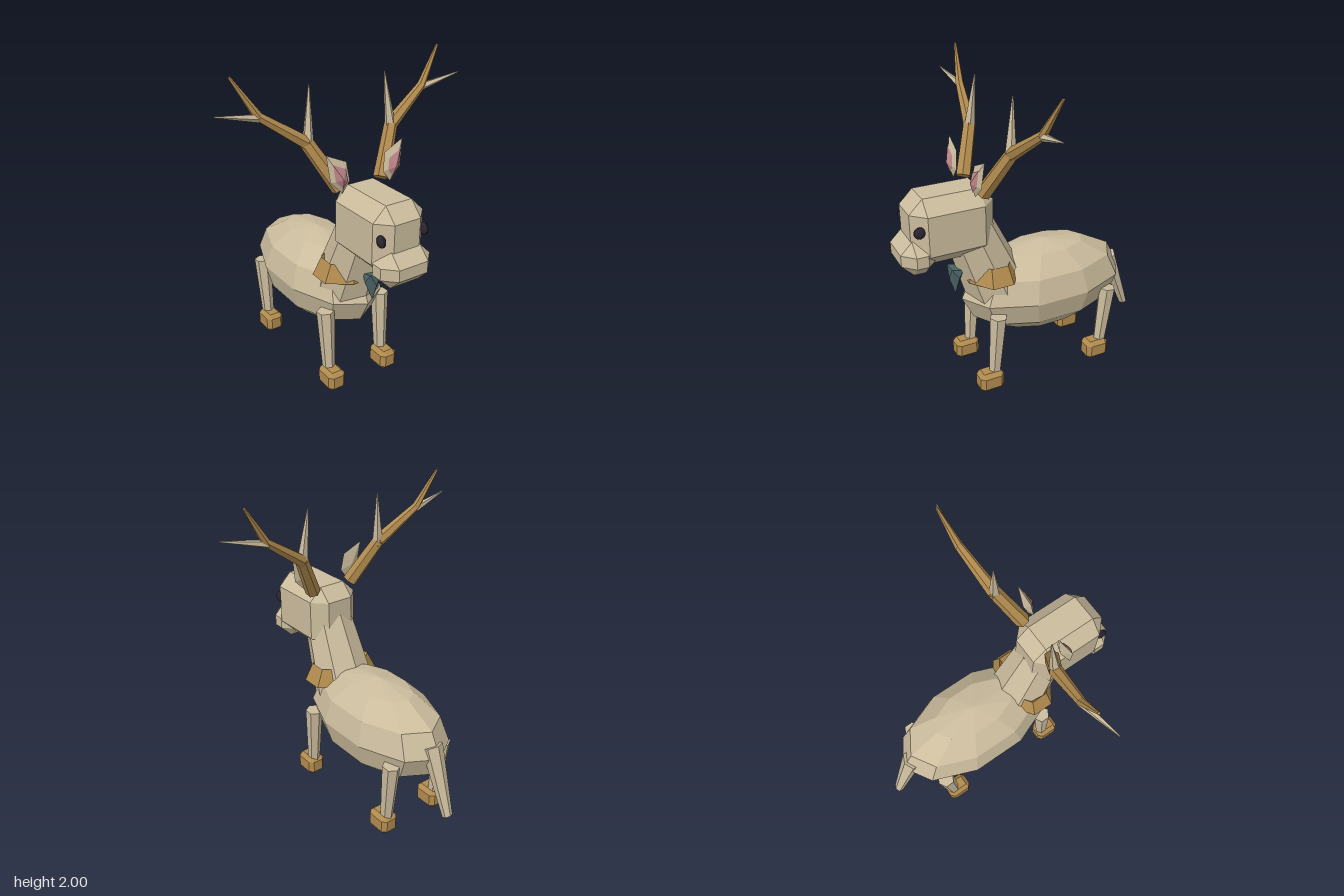
import * as THREE from 'three';
import { ConvexGeometry } from 'three/addons/geometries/ConvexGeometry.js';

const material = (name, color) => {
  const m = new THREE.MeshStandardMaterial({ color, flatShading: true });
  m.name = name;
  return m;
};
const V = (x, y, z) => new THREE.Vector3(x, y, z);

export function createModel() {
  const fur = material('tan fur', 0xcbbc9d);
  const gold = material('golden brown', 0xb18b4e);
  const teal = material('dark teal', 0x4f686b);
  const pink = material('inner ear pink', 0xbd8488);
  const dark = material('eye black', 0x2b2631);

  const model = new THREE.Group();
  model.name = 'deer';

  const add = (name, geometry, mat) => {
    const mesh = new THREE.Mesh(geometry, mat);
    mesh.name = name;
    model.add(mesh);
    return mesh;
  };
  const hull = (name, points, mat) => add(name, new ConvexGeometry(points), mat);

  // Box with one flat bevel of width c on every edge, between two corners
  const bevelBox = (name, lo, hi, c, mat) => {
    const mid = lo.clone().add(hi).multiplyScalar(0.5);
    const h = hi.clone().sub(lo).multiplyScalar(0.5);
    const points = [];
    for (const x of [-1, 1]) for (const y of [-1, 1]) for (const z of [-1, 1]) {
      points.push(V(x * h.x, y * (h.y - c), z * (h.z - c)).add(mid));
      points.push(V(x * (h.x - c), y * h.y, z * (h.z - c)).add(mid));
      points.push(V(x * (h.x - c), y * (h.y - c), z * h.z).add(mid));
    }
    return hull(name, points, mat);
  };

  // Tapered prism running from a to b
  const limb = (name, a, b, ra, rb, sides, mat, flat = 1) => {
    const geometry = new THREE.CylinderGeometry(rb, ra, a.distanceTo(b), sides);
    geometry.scale(1, 1, flat);
    const mesh = add(name, geometry, mat);
    mesh.position.copy(a).add(b).multiplyScalar(0.5);
    mesh.quaternion.setFromUnitVectors(V(0, 1, 0), b.clone().sub(a).normalize());
    return mesh;
  };

  // Body
  const bodyGeo = new THREE.SphereGeometry(1, 10, 6).rotateY(Math.PI / 2);
  const body = add('body', bodyGeo, fur);
  body.scale.set(0.305, 0.303, 0.567);
  body.position.set(0, 0.574, -0.136);

  // Neck, head and muzzle
  limb('neck', V(0, 0.6, 0.19), V(0, 1.1, 0.385), 0.205, 0.155, 8, fur);
  bevelBox('head', V(-0.17, 0.925, 0.245), V(0.17, 1.34, 0.757), 0.083, fur);
  bevelBox('muzzle', V(-0.17, 0.88, 0.61), V(0.17, 1.095, 0.825), 0.072, fur);

  // Collar with a triangular section, and its pendant
  const section = [[0.14, 0.735], [0.255, 0.735], [0.2, 0.845], [0.14, 0.735]];
  const collar = add('collar',
    new THREE.LatheGeometry(section.map(([x, y]) => new THREE.Vector2(x, y)), 8, Math.PI / 8), gold);
  collar.scale.z = 0.7;
  collar.position.z = 0.25;
  hull('pendant', [
    V(-0.043, 0.82, 0.503), V(0.043, 0.82, 0.503), V(-0.052, 0.755, 0.46), V(0.052, 0.755, 0.46),
    V(-0.043, 0.8, 0.43), V(0.043, 0.8, 0.43), V(0, 0.74, 0.507), V(0, 0.625, 0.47),
  ], teal);

  // Tail
  limb('tail', V(0, 0.635, -0.632), V(0, 0.216, -0.79), 0.07, 0.034, 6, fur, 0.8);

  for (const s of [1, -1]) {
    const side = s > 0 ? 'left' : 'right';
    const P = (x, y, z) => V(s * x, y, z);

    // Legs and hooves: top z, ankle z, hoof centre z
    for (const [end, top, ankle, hoof] of [['Front', 0.275, 0.307, 0.339], ['Back', -0.51, -0.468, -0.437]]) {
      limb(side + end + 'Leg', P(0.2, 0.09, ankle), P(0.205, 0.515, top), 0.039, 0.056, 6, fur);
      bevelBox(side + end + 'Hoof', V(s * 0.2 - 0.06, 0, hoof - 0.08), V(s * 0.2 + 0.06, 0.13, hoof + 0.08), 0.026, gold);
    }

    // Eye
    const eye = add(side + 'Eye', new THREE.SphereGeometry(1, 10, 8), dark);
    eye.scale.set(0.02, 0.036, 0.036);
    eye.position.copy(P(0.146, 1.165, 0.72));

    // Ear: shallow pyramid with a pink plate lying on its front
    const rim = [P(0.26, 1.56, 0.366), P(0.13, 1.5, 0.372), P(0.115, 1.39, 0.385), P(0.165, 1.325, 0.388), P(0.24, 1.4, 0.38)];
    const peak = P(0.18, 1.42, 0.418);
    hull(side + 'Ear', [...rim, peak, P(0.18, 1.42, 0.355)], fur);
    const plate = rim.map((p) => peak.clone().lerp(p, 0.62)).concat(peak.clone());
    hull(side + 'InnerEar', plate.map((p) => p.add(V(0, 0, 0.005))), pink);

    // Antler: three-piece beam with two pale tines
    const beam = [P(0.145, 1.33, 0.33), P(0.29, 1.595, 0.22), P(0.55, 1.775, 0.17), P(0.688, 1.995, 0.135)];
    const radius = [0.048, 0.04, 0.026, 0.008];
    for (let i = 0; i < 3; i++) {
      limb(side + 'AntlerBeam' + (i + 1), beam[i], beam[i + 1], radius[i], radius[i + 1], 6, gold);
    }
    limb(side + 'InnerTine', P(0.285, 1.57, 0.225), P(0.253, 1.905, 0.192), 0.036, 0.004, 5, fur);
    limb(side + 'OuterTine', P(0.54, 1.765, 0.168), P(0.81, 1.826, 0.2), 0.025, 0.004, 5, fur);
  }
  return model;
}
